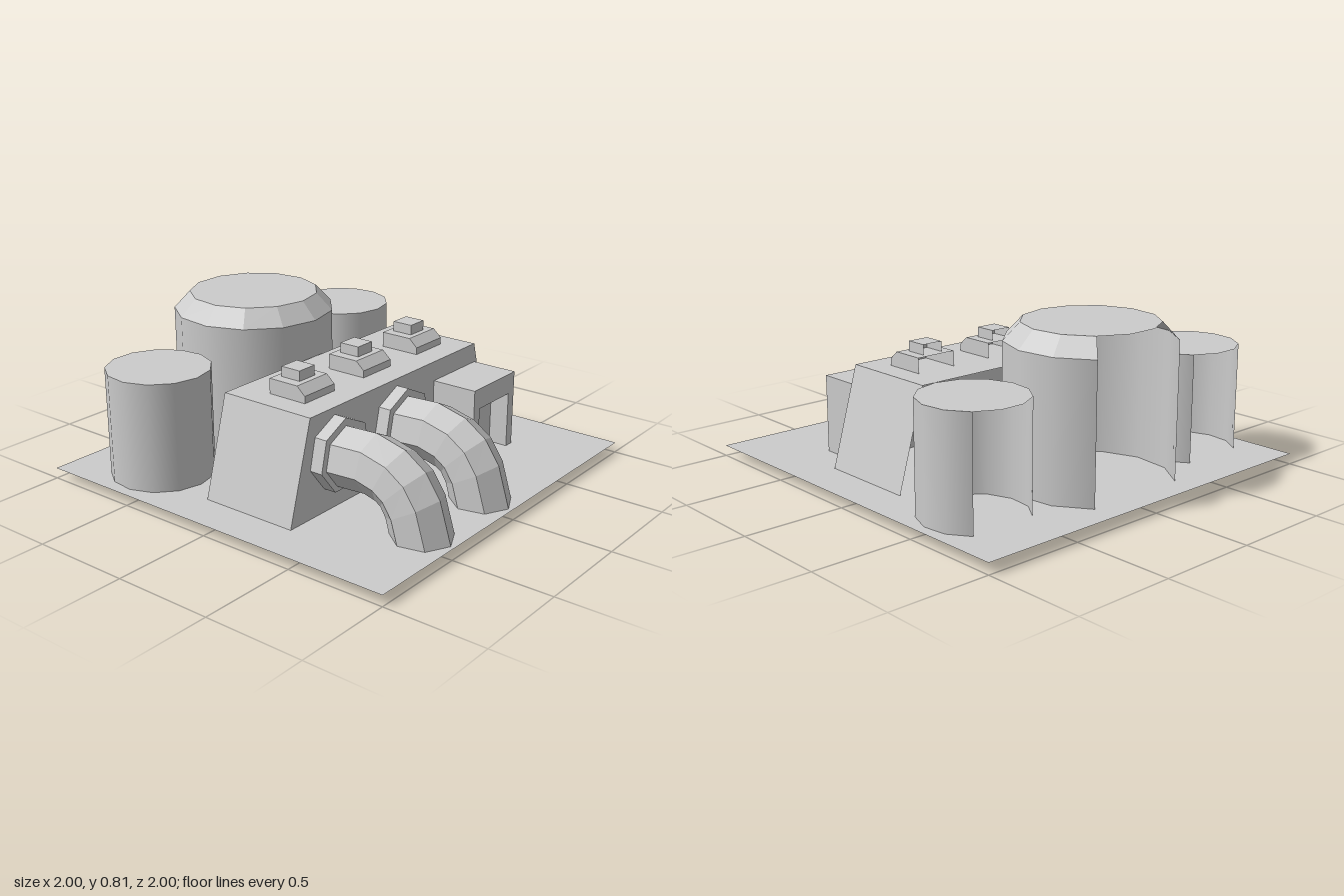
import * as THREE from 'three';

const flat = new THREE.MeshStandardMaterial({ color: 0xcccccc, flatShading: true, side: THREE.DoubleSide });
const smooth = new THREE.MeshStandardMaterial({ color: 0xcccccc, side: THREE.DoubleSide });
const GROUND = 0.05;

function addMesh(parent, name, geometry, material = flat) {
  const mesh = new THREE.Mesh(geometry, material);
  mesh.name = name;
  parent.add(mesh);
  return mesh;
}

// Extrude a profile of [x, y] points
function extrude(points, depth) {
  const shape = new THREE.Shape(points.map(([x, y]) => new THREE.Vector2(x, y)));
  return new THREE.ExtrudeGeometry(shape, { depth, bevelEnabled: false });
}

// Remove the faces that look towards -x or -y, leaving an open shell
function openShell(geometry) {
  const p = (geometry.index ? geometry.toNonIndexed() : geometry).attributes.position;
  const kept = [], n = new THREE.Vector3();
  const tri = new THREE.Triangle();
  for (let i = 0; i < p.count; i += 3) {
    tri.setFromAttributeAndIndices(p, i, i + 1, i + 2).getNormal(n);
    if (n.x < -0.9 || n.y < -0.9) continue;
    for (const v of [tri.a, tri.b, tri.c]) kept.push(v.x, v.y, v.z);
  }
  const g = new THREE.BufferGeometry();
  g.setAttribute('position', new THREE.Float32BufferAttribute(kept, 3));
  g.computeVertexNormals();
  return g;
}

// 13-sided tank, its wall open by three sides towards -x
function makeTank(name, x, z, radius, bottom, shoulder, top, topRadius) {
  const tank = new THREE.Group();
  tank.name = name;
  tank.position.set(x, 0, z);
  const step = (Math.PI * 2) / 13;
  const band = (rTop, rBottom, y0, y1) =>
    new THREE.CylinderGeometry(rTop, rBottom, y1 - y0, 10, 1, true, Math.PI * 1.5 + 1.5 * step, 10 * step)
      .translate(0, (y0 + y1) / 2, 0);
  addMesh(tank, 'tankWall', band(radius, radius, bottom, shoulder), smooth);
  if (top > shoulder) addMesh(tank, 'tankShoulder', band(topRadius, radius, shoulder, top));
  addMesh(tank, 'tankTop', new THREE.CircleGeometry(topRadius, 13).rotateX(-Math.PI / 2).translate(0, top, 0));
  return tank;
}

// Seven-sided bent pipe, open along its underside
function pipeGeometry(radius) {
  // centre x, centre y, bend angle in degrees
  const rings = [
    [0.4, 0.322, 0], [0.565, 0.33, 4], [0.67, 0.303, 24],
    [0.738, 0.257, 45], [0.79, 0.18, 62], [0.838, 0.022, 79],
  ];
  const pos = [], index = [];
  rings.forEach(([cx, cy, deg], r) => {
    const t = THREE.MathUtils.degToRad(deg);
    for (let k = 0; k < 7; k++) {
      const a = ((k - 3) * Math.PI * 2) / 7;
      const out = radius * Math.cos(a);
      pos.push(cx + out * Math.sin(t), cy + out * Math.cos(t), radius * Math.sin(a));
      if (r > 0 && k > 0) {
        const d = r * 7 + k, c = d - 1, b = d - 7, e = d - 8;
        index.push(e, b, d, e, d, c);
      }
    }
  });
  const g = new THREE.BufferGeometry();
  g.setAttribute('position', new THREE.Float32BufferAttribute(pos, 3));
  g.setIndex(index);
  g.computeVertexNormals();
  return g;
}

export function createModel() {
  const model = new THREE.Group();
  model.name = 'industrialPlant';

  // Ground sheet
  addMesh(model, 'ground', new THREE.PlaneGeometry(2, 2).rotateX(-Math.PI / 2).translate(0, GROUND, 0));

  // Tanks
  model.add(
    makeTank('largeTank', -0.575, 0, 0.405, GROUND, 0.725, 0.81, 0.325),
    makeTank('frontTank', -0.565, 0.692, 0.255, 0.035, 0.59, 0.59, 0.255),
    makeTank('backTank', -0.565, -0.698, 0.255, 0.035, 0.59, 0.59, 0.255),
  );

  // Main hall with sloping ends
  const hall = extrude([[-0.8, 0.035], [0.8, 0.035], [0.655, 0.54], [-0.655, 0.54]], 0.51);
  addMesh(model, 'hall', openShell(hall.rotateY(Math.PI / 2).translate(-0.17, 0, 0)));

  // Roof vents
  for (const z of [-0.435, -0.003, 0.43]) {
    const vent = new THREE.Group();
    vent.name = 'roofVent';
    vent.position.set(0, 0.54, z);
    const base = extrude([[0, 0], [0.21, 0], [0.21, 0.035], [0.165, 0.075], [0, 0.075]], 0.212);
    addMesh(vent, 'ventBase', openShell(base.translate(0, 0, -0.106)));
    addMesh(vent, 'ventCap', openShell(new THREE.BoxGeometry(0.108, 0.05, 0.108).translate(0.082, 0.1, 0)));
    model.add(vent);
  }

  // Pipes with wall flanges
  for (const z of [0.012, 0.483]) {
    const pipe = new THREE.Group();
    pipe.name = 'outletPipe';
    pipe.position.z = z;
    const flange = new THREE.CylinderGeometry(0.178, 0.178, 0.065, 7, 1, false, Math.PI * 1.5);
    addMesh(pipe, 'flange', flange.rotateZ(-Math.PI / 2).translate(0.3725, 0.327, 0));
    addMesh(pipe, 'bentPipe', pipeGeometry(0.145));
    model.add(pipe);
  }

  // Entrance porch with a recessed doorway
  const porch = new THREE.Group();
  porch.name = 'porch';
  porch.position.set(0.34, GROUND, -0.48);
  addMesh(porch, 'porchBody', openShell(new THREE.BoxGeometry(0.14, 0.39, 0.365).translate(0.07, 0.195, 0)));
  const frame = extrude([
    [-0.1825, 0], [-0.1325, 0], [-0.1325, 0.285], [0.1325, 0.285],
    [0.1325, 0], [0.1825, 0], [0.1825, 0.39], [-0.1825, 0.39],
  ], 0.1);
  addMesh(porch, 'doorFrame', frame.rotateY(Math.PI / 2).translate(0.14, 0, 0));
  model.add(porch);

  return model;
}
